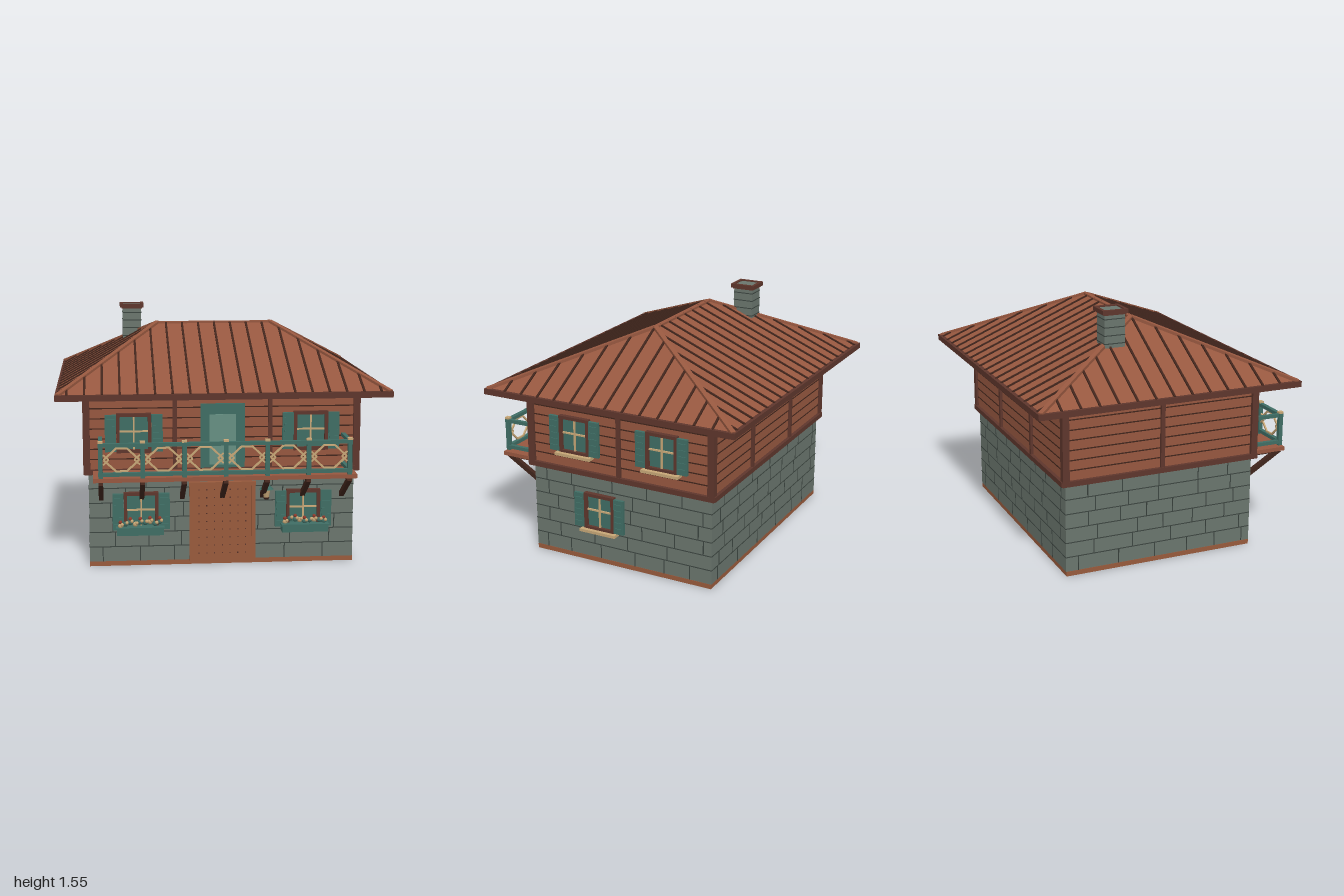
import * as THREE from 'three';

const mat = (name, color) => Object.assign(new THREE.MeshStandardMaterial({ color }), { name });
const M = {
  wood: mat('red brown wood', 0x96573f),
  warm: mat('warm wood', 0x985a3c),
  beam: mat('dark beam', 0x5e362c),
  dark: mat('very dark wood', 0x41251c),
  stone: mat('grey stone', 0x6a756d),
  joint: mat('stone joint', 0x3c4540),
  teal: mat('teal paint', 0x3f6d64),
  glass: mat('pale glass', 0x668f82),
  cream: mat('cream wood', 0xc6a676),
  red: mat('flower red', 0x8e3b2c),
};

function add(parent, name, geo, m, x = 0, y = 0, z = 0) {
  const mesh = new THREE.Mesh(geo, m);
  mesh.name = name;
  mesh.position.set(x, y, z);
  parent.add(mesh);
  return mesh;
}
const box = (p, name, m, w, h, d, x, y, z) => add(p, name, new THREE.BoxGeometry(w, h, d), m, x, y, z);
function group(parent, name, x = 0, y = 0, z = 0) {
  const g = new THREE.Group();
  g.name = name;
  g.position.set(x, y, z);
  parent.add(g);
  return g;
}
// Straight bar between two points
function bar(p, name, m, a, b, w, h) {
  const A = new THREE.Vector3(...a), B = new THREE.Vector3(...b);
  const mesh = new THREE.Mesh(new THREE.BoxGeometry(w, h, A.distanceTo(B)), m);
  mesh.name = name;
  mesh.position.copy(A).lerp(B, 0.5);
  mesh.lookAt(B);
  p.add(mesh);
}
function seeded(s) {
  return () => (s = (s * 16807) % 2147483647) / 2147483647;
}

// Window with frame, cross bars and louvred shutters, facing +z
function windowUnit(parent, x, y, z, sill) {
  const g = group(parent, 'window', x, y, z);
  box(g, 'pane', M.teal, 0.18, 0.21, 0.008, 0, 0, 0.006);
  for (const s of [-1, 1]) {
    box(g, 'frameSide', M.beam, 0.02, 0.24, 0.03, s * 0.095, 0, 0.015);
    box(g, 'frameRail', M.beam, 0.21, 0.02, 0.03, 0, s * 0.11, 0.015);
    box(g, 'shutter', M.teal, 0.068, 0.225, 0.02, s * 0.14, 0, 0.02);
    for (let i = -2; i <= 2; i++) box(g, 'slat', M.teal, 0.05, 0.012, 0.008, s * 0.14, i * 0.04, 0.032);
  }
  box(g, 'uprightBar', M.cream, 0.01, 0.2, 0.012, 0, 0, 0.015);
  box(g, 'crossBar', M.cream, 0.17, 0.01, 0.012, 0, 0.01, 0.015);
  if (sill) box(g, 'sill', M.cream, 0.25, 0.018, 0.055, 0, -0.125, 0.028);
  return g;
}

// Planter with bushes and blossoms
function flowerBox(parent, x, y, z, seed) {
  const g = group(parent, 'flowerBox', x, y, z), r = seeded(seed);
  box(g, 'planter', M.teal, 0.285, 0.045, 0.07, 0, 0, 0.04);
  box(g, 'planterRim', M.teal, 0.295, 0.01, 0.08, 0, 0.022, 0.04);
  for (let i = 0; i < 9; i++) {
    const px = -0.12 + i * 0.03, h = 0.035 + r() * 0.025, pz = 0.03 + r() * 0.025;
    add(g, 'leaves', new THREE.SphereGeometry(0.016, 7, 5), i % 3 ? M.teal : M.cream, px, h, pz);
    add(g, 'bud', new THREE.SphereGeometry(0.011, 7, 5), M.cream, px + 0.01, h + 0.01, pz + 0.012);
    if (i % 2 === 0) add(g, 'blossom', new THREE.SphereGeometry(0.012, 7, 5), M.red, px, h + 0.022, pz);
  }
}

// One wall: stone joints below, planks and beams above
function wall(house, name, angle, half, dist, posts, seed) {
  const g = group(house, name), r = seeded(seed);
  g.rotation.y = angle;
  const course = 0.55 / 6;
  for (let i = 0; i < 6; i++) {
    const y = 0.03 + i * course;
    if (i) box(g, 'bedJoint', M.joint, half * 2, 0.006, 0.004, 0, y, dist);
    for (let x = -half + 0.08 + r() * 0.16; x < half - 0.04; x += 0.17 + r() * 0.13)
      box(g, 'headJoint', M.joint, 0.006, course, 0.004, x, y + course / 2, dist);
  }
  const top = dist + 0.01;
  for (let i = 1; i < 7; i++) box(g, 'plankGap', M.dark, half * 2, 0.007, 0.005, 0, 0.61 + i * 0.062, top);
  for (const y of [0.595, 1.045]) box(g, 'beam', M.beam, half * 2 + 0.05, 0.032, 0.035, 0, y, top + 0.004);
  for (const x of posts) box(g, 'post', M.beam, 0.026, 0.44, 0.028, x, 0.82, top + 0.003);
  return g;
}

function buildRoof(house) {
  const g = group(house, 'roof');
  const L = 0.985, E = 0.83, R = 0.365, y0 = 1.092, y1 = 1.437;
  // Four slopes
  const a = [-L, y0, E], b = [L, y0, E], c = [L, y0, -E], d = [-L, y0, -E], p = [-R, y1, 0], q = [R, y1, 0];
  const geo = new THREE.BufferGeometry();
  geo.setAttribute('position', new THREE.Float32BufferAttribute(
    [a, b, q, a, q, p, c, d, p, c, p, q, b, c, q, d, a, p].flat(), 3));
  geo.computeVertexNormals();
  add(g, 'slopes', geo, M.wood);
  // Seams climbing each slope
  for (const s of [-1, 1]) {
    for (let i = -9; i <= 9; i++) {
      const x = i * 0.1035, t = Math.max(0, (Math.abs(x) - R) / (L - R));
      bar(g, 'seam', M.dark, [x, y0, s * E], [x, y1 + (y0 - y1) * t, s * E * t], 0.013, 0.016);
    }
    for (let i = -6; i <= 6; i++) {
      const z = i * 0.117, t = Math.abs(z) / E;
      bar(g, 'seam', M.dark, [s * L, y0, z], [s * (R + (L - R) * t), y1 + (y0 - y1) * t, z], 0.013, 0.016);
    }
    for (const e of [-1, 1]) bar(g, 'hipCap', M.wood, [s * L, y0, e * E], [s * R, y1, 0], 0.03, 0.022);
    box(g, 'fascia', M.beam, 2, 0.036, 0.03, 0, 1.078, s * 0.83);
    box(g, 'fascia', M.beam, 0.03, 0.036, 1.63, s * 0.985, 1.078, 0);
  }
  box(g, 'ridgeCap', M.wood, R * 2 + 0.02, 0.018, 0.03, 0, y1 - 0.002, 0);
  box(g, 'soffit', M.wood, 1.96, 0.012, 1.65, 0, 1.068, 0);
}

function buildChimney(house) {
  const g = group(house, 'chimney', -0.525, 0, -0.205);
  box(g, 'stack', M.stone, 0.12, 0.34, 0.13, 0, 1.36, 0);
  for (let i = 0; i < 6; i++) box(g, 'stackJoint', M.joint, 0.124, 0.006, 0.134, 0, 1.24 + i * 0.05, 0);
  for (const s of [-1, 1]) {
    box(g, 'cap', M.beam, 0.155, 0.025, 0.02, 0, 1.535, s * 0.072);
    box(g, 'cap', M.beam, 0.02, 0.025, 0.13, s * 0.067, 1.535, 0);
  }
  box(g, 'capRim', M.beam, 0.135, 0.01, 0.145, 0, 1.52, 0);
  box(g, 'flueTop', M.stone, 0.115, 0.012, 0.125, 0, 1.534, 0);
}

function buildBalcony(house) {
  const g = group(house, 'balcony'), zf = 0.865, step = 0.2465;
  box(g, 'deck', M.wood, 1.57, 0.025, 0.25, 0, 0.593, 0.752);
  for (const y of [0.628, 0.803]) {
    box(g, 'frontRail', M.teal, 1.51, 0.022, 0.026, 0, y, zf);
    for (const s of [-1, 1]) box(g, 'sideRail', M.teal, 0.024, 0.022, 0.23, s * 0.74, y, 0.75);
  }
  for (let i = -3; i <= 3; i++) {
    const x = i * step;
    box(g, 'baluster', M.teal, 0.026, 0.21, 0.026, x, 0.71, zf);
    box(g, 'postCap', M.cream, 0.03, 0.012, 0.03, x, 0.82, zf);
    bar(g, 'brace', M.dark, [x, 0.575, 0.865], [x, 0.425, 0.615], 0.028, 0.028);
    box(g, 'joist', M.dark, 0.028, 0.022, 0.24, x, 0.573, 0.74);
  }
  // Lozenge fretwork in each bay
  for (let i = -3; i < 3; i++) {
    const x = (i + 0.5) * step, y = 0.715;
    for (const s of [-1, 1]) for (const t of [-1, 1]) {
      bar(g, 'fret', M.cream, [x + s * 0.105, y, zf], [x + s * 0.03, y + t * 0.07, zf], 0.01, 0.011);
      bar(g, 'fretCorner', M.cream, [x + s * 0.108, y + t * 0.03, zf], [x + s * 0.075, y, zf], 0.01, 0.009);
    }
    for (const t of [-1, 1]) box(g, 'fretRail', M.cream, 0.07, 0.01, 0.01, x, y + t * 0.068, zf);
  }
}

function buildLantern(house) {
  const g = group(house, 'lantern', 0.265, 0.47, 0.675);
  box(g, 'arm', M.dark, 0.014, 0.014, 0.07, 0, 0.055, -0.03);
  add(g, 'shade', new THREE.ConeGeometry(0.045, 0.045, 8), M.teal, 0, 0.03, 0);
  add(g, 'lamp', new THREE.CylinderGeometry(0.026, 0.016, 0.05, 8), M.cream, 0, -0.018, 0);
  add(g, 'lampBase', new THREE.CylinderGeometry(0.02, 0.014, 0.012, 8), M.dark, 0, -0.049, 0);
}

function buildDoors(front) {
  // Ground floor door with studs
  const d = group(front, 'frontDoor', 0, 0, 0.62);
  box(d, 'doorLeaf', M.warm, 0.37, 0.47, 0.008, -0.003, 0.265, 0.004);
  for (const s of [-1, 1]) box(d, 'jamb', M.warm, 0.026, 0.48, 0.03, s * 0.19, 0.27, 0.012);
  box(d, 'lintel', M.warm, 0.41, 0.026, 0.035, 0, 0.508, 0.014);
  for (let i = -3; i <= 3; i++) for (let j = 0; j < 9; j++)
    box(d, 'stud', M.beam, 0.007, 0.007, 0.004, i * 0.048, 0.07 + j * 0.05, 0.009);
  // Balcony door
  const b = group(front, 'balconyDoor', 0, 0, 0.63);
  box(b, 'doorFrame', M.teal, 0.27, 0.4, 0.016, 0, 0.805, 0.006);
  box(b, 'doorGlass', M.glass, 0.16, 0.31, 0.006, 0, 0.785, 0.015);
}

export function createModel() {
  const model = new THREE.Group();
  model.name = 'chalet';
  const house = group(model, 'house', 0, 0, -0.013);
  box(house, 'basePlinth', M.warm, 1.63, 0.03, 1.236, 0, 0.015, 0);
  box(house, 'stoneStorey', M.stone, 1.626, 0.55, 1.24, 0, 0.305, 0);
  box(house, 'timberStorey', M.wood, 1.646, 0.485, 1.26, 0, 0.8225, 0);

  const front = wall(house, 'frontWall', 0, 0.813, 0.62, [-0.29, 0.29], 11);
  const right = wall(house, 'leftWall', Math.PI / 2, 0.62, 0.813, [0], 23);
  wall(house, 'backWall', Math.PI, 0.813, 0.62, [-0.29, 0.29], 37);
  wall(house, 'rightWall', -Math.PI / 2, 0.62, 0.813, [0], 51);
  for (const x of [-1, 1]) for (const z of [-1, 1])
    box(house, 'cornerPost', M.beam, 0.042, 0.48, 0.042, x * 0.823, 0.82, z * 0.624);

  for (const s of [-1, 1]) {
    windowUnit(front, s * 0.538, 0.833, 0.63, false);
    windowUnit(front, s * 0.498, 0.345, 0.62, false);
    flowerBox(front, s * 0.505, 0.23, 0.62, s + 8);
    windowUnit(right, s * 0.302, 0.83, 0.825, true);
  }
  windowUnit(right, -0.143, 0.347, 0.813, true);

  buildDoors(front);
  buildBalcony(house);
  buildLantern(house);
  buildRoof(house);
  buildChimney(house);
  return model;
}
